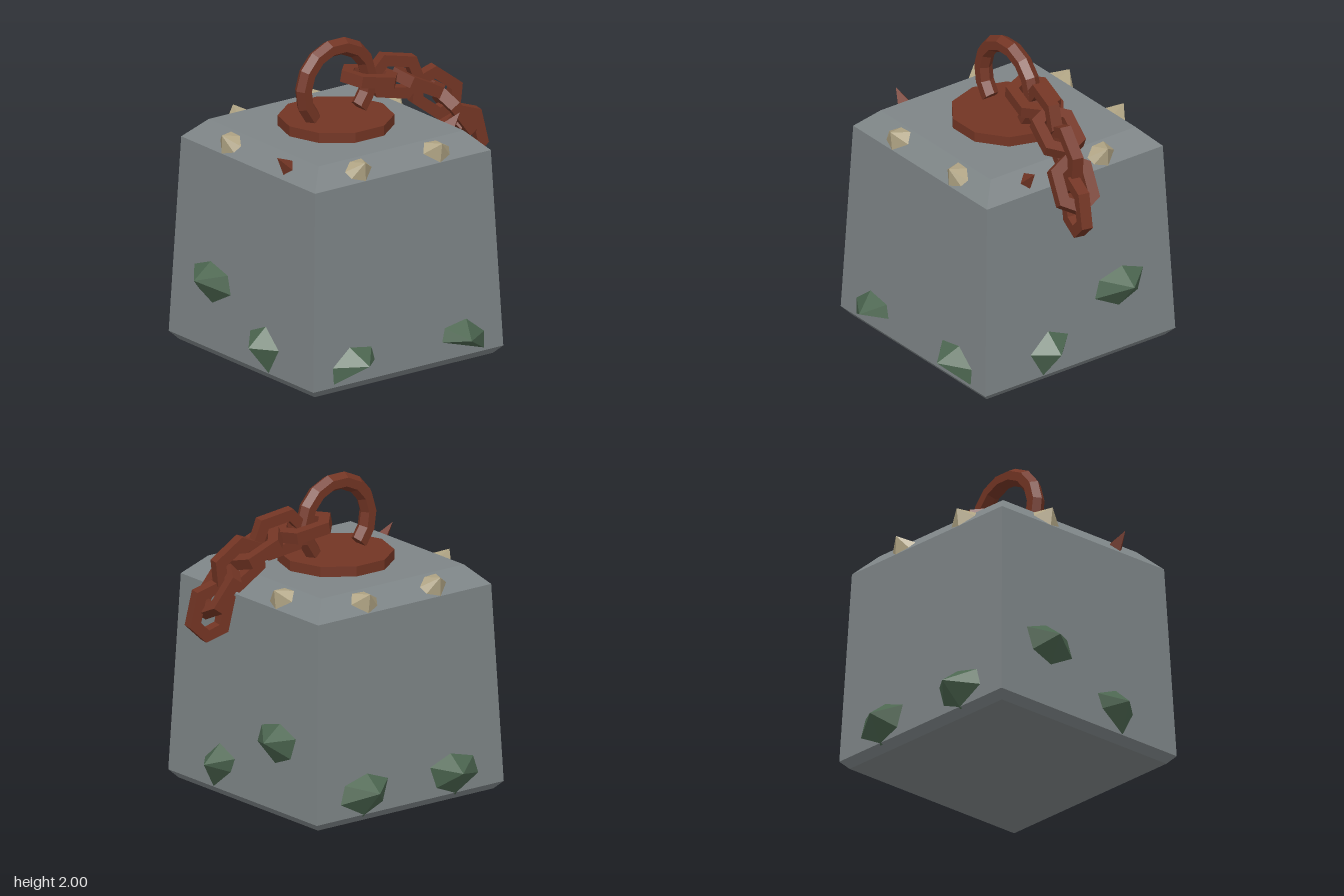
import * as THREE from 'three';

const CX = -0.095; // centre of the block in x
const flat = (name, color) => {
  const m = new THREE.MeshStandardMaterial({ color, flatShading: true });
  m.name = name;
  return m;
};

function addMesh(parent, name, geometry, material) {
  const mesh = new THREE.Mesh(geometry, material);
  mesh.name = name;
  parent.add(mesh);
  return mesh;
}

// Faceted lump: a fan from an apex down to an irregular rim (rim listed clockwise)
function lumpGeometry(rim, height, mirror) {
  const s = mirror ? -1 : 1;
  const pos = [];
  rim.forEach(([u, v], i) => {
    const [u2, v2] = rim[(i + 1) % rim.length];
    const a = [s * u, v, -0.01], b = [s * u2, v2, -0.01];
    pos.push(0, 0, height, ...(mirror ? a : b), ...(mirror ? b : a));
  });
  const g = new THREE.BufferGeometry();
  g.setAttribute('position', new THREE.Float32BufferAttribute(pos, 3));
  g.computeVertexNormals();
  return g;
}

// Rims, relative to the apex
const RIMS = {
  wide: [[-0.23, -0.06], [-0.19, 0.065], [0, 0.115], [0.175, 0.05], [0.125, -0.1], [-0.035, -0.165]],
  tall: [[-0.155, 0], [-0.005, 0.13], [0.16, 0.06], [0.12, -0.04], [-0.055, -0.18]],
  low: [[-0.205, 0], [-0.06, 0.115], [0.12, 0.085], [0.145, -0.01], [-0.2, -0.115]],
  shell: [[-0.115, 0.01], [-0.04, 0.075], [0.06, 0.08], [0.108, 0], [0.01, -0.09], [-0.09, -0.05]],
  spike: [[-0.05, 0], [0.01, 0.06], [0.05, 0.01], [0, -0.055]],
};

// Hexagonal chain link: long axis along x, thickness along z
function linkGeometry() {
  const hex = (Path, tip, side, half) => new Path([
    [tip, 0], [side, half], [-side, half], [-tip, 0], [-side, -half], [side, -half],
  ].map(([x, y]) => new THREE.Vector2(x, y)));
  const shape = hex(THREE.Shape, 0.195, 0.113, 0.136);
  shape.holes.push(hex(THREE.Path, 0.115, 0.074, 0.066));
  const g = new THREE.ExtrudeGeometry(shape, { depth: 0.074, bevelEnabled: false });
  return g.translate(0, 0, -0.037);
}

export function createModel() {
  const model = new THREE.Group();
  model.name = 'chainedWeight';
  const stone = flat('stone grey', 0x7e8587);
  const rust = flat('rust', 0x733524);
  const moss = flat('moss green', 0x4c6650);
  const shell = flat('shell tan', 0xb0a484);

  // Tapered block with bevelled top and bottom edges
  const profile = [[0, 0], [0.69, 0], [0.735, 0.05], [0.68, 1.32], [0.56, 1.44], [0, 1.44]]
    .map(([r, y]) => new THREE.Vector2(r * Math.SQRT2, y));
  addMesh(model, 'block', new THREE.LatheGeometry(profile, 4, Math.PI / 4), stone).position.x = CX;

  // Ten-sided plate
  const plate = addMesh(model, 'plate', new THREE.CylinderGeometry(0.36, 0.36, 0.08, 10, 1, false, Math.PI / 2), rust);
  plate.position.set(CX, 1.465, 0);

  // Open ring with capped ends
  const ring = new THREE.Group();
  ring.name = 'ring';
  ring.position.set(CX, 1.698, 0);
  model.add(ring);
  const start = -Math.PI / 4, arc = Math.PI * 1.5;
  addMesh(ring, 'ringArc', new THREE.TorusGeometry(0.252, 0.056, 6, 11, arc), rust).rotation.z = start;
  [[start, 1], [start + arc, -1]].forEach(([a, side]) => {
    const cap = addMesh(ring, 'ringEnd', new THREE.CircleGeometry(0.056, 6), rust);
    cap.position.set(0.252 * Math.cos(a), 0.252 * Math.sin(a), 0);
    cap.rotation.set(side * Math.PI / 2, 0, a, 'ZYX');
  });

  // Chain: x, y, z, downward pitch in degrees; links alternate flat and upright
  const chain = new THREE.Group();
  chain.name = 'chain';
  model.add(chain);
  const link = linkGeometry();
  const yaw = 0.2;
  const across = new THREE.Vector3(-Math.sin(yaw), 0, Math.cos(yaw));
  [
    [0.16, 1.7, 0, 10],
    [0.325, 1.685, 0.04, 11],
    [0.49, 1.615, 0.06, 26],
    [0.607, 1.534, 0.085, 37],
    [0.735, 1.38, 0.125, 54],
    [0.783, 1.25, 0.14, 77],
  ].forEach(([x, y, z, degrees], i) => {
    const p = THREE.MathUtils.degToRad(degrees);
    const along = new THREE.Vector3(Math.cos(p) * Math.cos(yaw), -Math.sin(p), Math.cos(p) * Math.sin(yaw));
    const wide = i % 2 ? new THREE.Vector3().crossVectors(across, along) : across;
    const normal = new THREE.Vector3().crossVectors(along, wide);
    const mesh = addMesh(chain, 'chainLink', link, rust);
    mesh.quaternion.setFromRotationMatrix(new THREE.Matrix4().makeBasis(along, wide, normal));
    mesh.position.set(x, y, z);
  });

  // Growths on each side: u runs to the right as seen from outside
  const sides = [
    { name: 'front', turn: 0,
      moss: [['low', -0.39, 0.175], ['low', 0.4, 0.175, true]],
      shells: [[-0.295], [0.3, true]], spikes: [] },
    { name: 'left', turn: Math.PI / 2,
      moss: [['wide', 0.34, 0.5], ['tall', -0.235, 0.22]],
      shells: [[0.25]], spikes: [[-0.33]] },
    { name: 'back', turn: Math.PI,
      moss: [['wide', 0.325, 0.2, true], ['wide', -0.33, 0.2]],
      shells: [[0.275], [-0.275, true]], spikes: [] },
    { name: 'right', turn: -Math.PI / 2,
      moss: [['wide', -0.34, 0.5, true], ['tall', 0.23, 0.22, true]],
      shells: [[-0.26, true]], spikes: [[0.33, true]] },
  ];
  sides.forEach((side) => {
    const face = new THREE.Group();
    face.name = side.name + 'Growths';
    face.position.x = CX;
    face.rotation.y = side.turn;
    model.add(face);

    // Moss clumps on the sloping wall
    side.moss.forEach(([rim, u, y, mirror]) => {
      const m = addMesh(face, 'mossClump', lumpGeometry(RIMS[rim], 0.125, mirror), moss);
      m.position.set(u, y, 0.735 - 0.0433 * (y - 0.05));
      m.rotation.x = -0.043;
    });
    // Shells and rusty spikes on the top bevel
    const onBevel = (name, rim, height, material) => ([u, mirror]) => {
      const m = addMesh(face, name, lumpGeometry(rim, height, mirror), material);
      m.position.set(u, 1.378, 0.622);
      m.rotation.x = -Math.PI / 4;
    };
    side.shells.forEach(onBevel('shell', RIMS.shell, 0.09, shell));
    side.spikes.forEach(onBevel('rustSpike', RIMS.spike, 0.12, rust));
  });

  return model;
}
